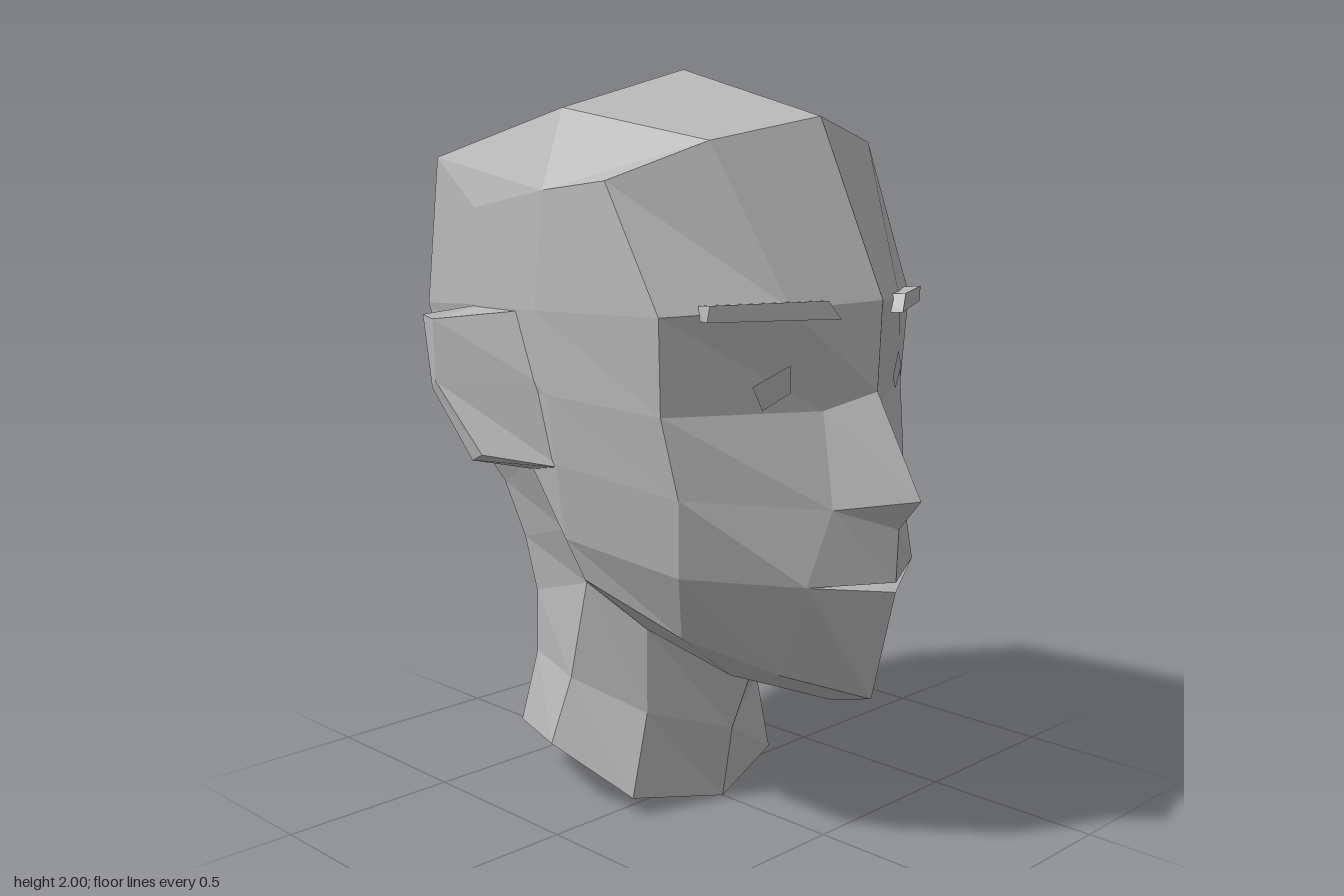
import * as THREE from 'three';

const clay = new THREE.MeshStandardMaterial({ color: 0xb8b8b8 });
clay.name = 'clay grey';

// Faceted mesh from polygons; side is 1 (left), -1 (mirrored to the right) or 0 (both)
function facetMesh(name, polygons, side) {
  const pos = [];
  for (const s of side === 0 ? [1, -1] : [side]) {
    for (const polygon of polygons) {
      const p = polygon.map(([x, y, z]) => [x * s, y, z]);
      if (s < 0) p.reverse();
      for (let i = 1; i < p.length - 1; i++) pos.push(...p[0], ...p[i], ...p[i + 1]);
    }
  }
  const g = new THREE.BufferGeometry();
  g.setAttribute('position', new THREE.Float32BufferAttribute(pos, 3));
  g.computeVertexNormals();
  const mesh = new THREE.Mesh(g, clay);
  mesh.name = name;
  return mesh;
}

// Quads between an upper and a lower section, both running front to back
function bridge(upper, lower, from = 0) {
  const quads = [];
  for (let i = from; i < upper.length - 1; i++) quads.push([upper[i], lower[i], lower[i + 1], upper[i + 1]]);
  return quads;
}

function headPolygons() {
  // Half sections: front centre, face, temple, side, behind ear, back, back centre
  const hair = [[0, 1.87, 0.455], [0.3, 1.81, 0.365], [0.475, 1.715, 0.185], [0.49, 1.69, -0.03],
    [0.46, 1.64, -0.345], [0.39, 1.77, -0.6], [0, 1.825, -0.61]];
  const brow = [[0, 1.43, 0.66], [0.21, 1.415, 0.55], [0.48, 1.4, 0.375], [0.505, 1.39, -0.05],
    [0.47, 1.385, -0.35], [0.365, 1.36, -0.695], [0, 1.34, -0.785]];
  const eye = [[0, 1.205, 0.65], [0.11, 1.16, 0.57], [0.465, 1.16, 0.365], [0.5, 1.18, -0.02],
    [0.44, 1.18, -0.28], [0.33, 1.045, -0.615], [0, 1.03, -0.71]];
  const nose = [[0, 0.95, 0.79], [0.14, 0.925, 0.63], [0.44, 0.96, 0.4], [0.485, 1.0, 0],
    [0.42, 0.97, -0.18], [0.28, 0.86, -0.47], [0, 0.81, -0.59]];
  const mouth = [[0, 0.735, 0.72], [0.21, 0.74, 0.61], [0.41, 0.755, 0.37], [0.455, 0.8, 0],
    [0.36, 0.79, -0.115], [0.25, 0.7, -0.42], [0, 0.65, -0.535]];
  const jaw = [[0, 0.415, 0.65], [0.17, 0.48, 0.49], [0.33, 0.57, 0.3], [0.42, 0.69, 0.035],
    [0.315, 0.64, -0.08], [0.23, 0.54, -0.395], [0, 0.47, -0.505]];
  // Neck sections leave out the temple and side points
  const neckTop = [[0, 0.385, 0.235], [0.225, 0.52, 0.06], ...jaw.slice(4)];
  const neckMid = [[0, 0.21, 0.165], [0.22, 0.28, 0.055], [0.315, 0.355, -0.15], [0.22, 0.355, -0.41], [0, 0.32, -0.505]];
  const neckBase = [[0, 0, 0.13], [0.275, 0.05, 0.055], [0.36, 0.165, -0.185], [0.25, 0.14, -0.45], [0, 0.12, -0.54]];

  const crown = [0, 2, -0.025], crownSide = [0.365, 1.895, -0.095];
  const noseBase = [0, 0.87, 0.725], mouthInside = [0, 0.745, 0.62], lowerLip = [0, 0.71, 0.72];
  const chinUnder = [0, 0.38, 0.515], throat = [0.15, 0.43, 0.3], neckCentre = [0, 0.1, -0.2];

  return [
    // Skull cap
    [crown, hair[0], hair[1], crownSide], [crownSide, hair[1], hair[2], hair[3]],
    [crownSide, hair[3], hair[4], hair[5]], [crown, crownSide, hair[5], hair[6]],
    // Face and back of the head
    ...bridge(hair, brow), ...bridge(brow, eye), ...bridge(eye, nose),
    ...bridge(nose, mouth, 1), ...bridge(mouth, jaw, 1),
    // Underside of the nose, lips and chin
    [nose[0], noseBase, nose[1]], [noseBase, mouth[0], mouth[1], nose[1]],
    [mouth[0], mouthInside, mouth[1]], [mouthInside, lowerLip, mouth[1]],
    [lowerLip, jaw[0], jaw[1], mouth[1]],
    // Underside of the jaw
    [jaw[0], chinUnder, throat, jaw[1]], [chinUnder, neckTop[0], throat],
    [jaw[1], throat, neckTop[1], jaw[2]], [throat, neckTop[0], neckTop[1]],
    [jaw[2], neckTop[1], jaw[4], jaw[3]],
    // Neck with a closed base
    ...bridge(neckTop, neckMid), ...bridge(neckMid, neckBase),
    ...neckBase.slice(1).map((p, i) => [neckCentre, p, neckBase[i]]),
  ];
}

function earPolygons() {
  // Sections: front root, outer rim, back rim, back root
  const top = [[0.48, 1.385, -0.12], [0.63, 1.36, -0.31], [0.635, 1.37, -0.345], [0.43, 1.385, -0.34]];
  const mid = [[0.485, 1.2, -0.05], [0.637, 1.2, -0.295], [0.63, 1.18, -0.32], [0.41, 1.18, -0.27]];
  const low = [[0.47, 0.99, 0.005], [0.603, 1.02, -0.15], [0.6, 1.0, -0.195], [0.4, 0.95, -0.17]];
  return [top, ...bridge(top, mid), ...bridge(mid, low), [...low].reverse()];
}

export function createModel() {
  const model = new THREE.Group();
  model.name = 'head bust';
  model.add(facetMesh('head and neck', headPolygons(), 0));

  // Eye plates, lying just off the face
  const eyePlate = [[0.21, 1.28, 0.55], [0.2, 1.21, 0.542], [0.26, 1.17, 0.505], [0.29, 1.23, 0.5]];

  // Eyebrow bars, taller at the inner end
  const browTop = [[0.15, 1.435, 0.615], [0.405, 1.44, 0.47], [0.39, 1.435, 0.41], [0.13, 1.43, 0.55]]
    .map(([x, y, z], i) => [x, i === 1 || i === 2 ? y - 0.01 : y, z]);
  const browLow = [[0.12, 1.39, 0.63], [0.41, 1.39, 0.465], [0.39, 1.39, 0.41], [0.11, 1.385, 0.56]];
  const browSides = bridge([...browTop, browTop[0]], [...browLow, browLow[0]]);
  const browBar = [browTop, ...browSides, [...browLow].reverse()];

  for (const [label, side] of [['left', 1], ['right', -1]]) {
    model.add(facetMesh(label + ' ear', earPolygons(), side));
    model.add(facetMesh(label + ' eye', [eyePlate], side));
    model.add(facetMesh(label + ' eyebrow', browBar, side));
  }
  return model;
}
